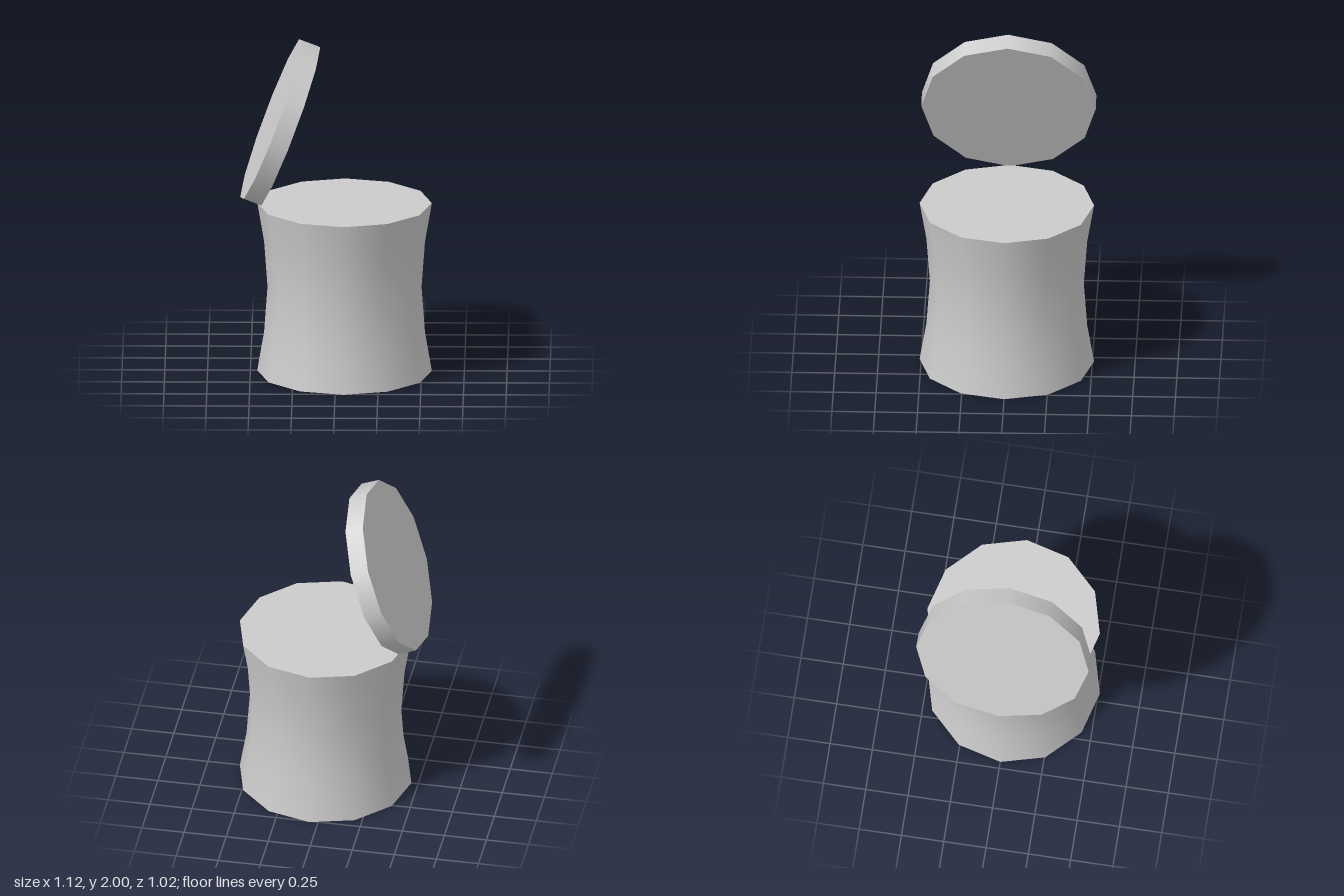
import * as THREE from 'three';

const SIDES = 12, RADIUS = 0.51, HEIGHT = 1.02, LID = 0.11;

export function createModel() {
  const material = new THREE.MeshStandardMaterial({ color: 0xcccccc });
  const model = new THREE.Group();

  const add = (name, geometry, parent) => {
    const mesh = new THREE.Mesh(geometry, material);
    mesh.name = name;
    parent.add(mesh);
    return mesh;
  };

  // Waisted pot body: smooth wall closed by flat discs
  const body = new THREE.Group();
  body.name = 'body';
  body.position.x = 0.05;
  model.add(body);

  const profile = [[0.51, 0], [0.47, 0.235], [0.45, 0.51], [0.47, 0.785], [0.51, HEIGHT]]
    .map(([r, y]) => new THREE.Vector2(r, y));
  add('bodyWall', new THREE.LatheGeometry(profile, SIDES), body);
  const disc = new THREE.CircleGeometry(RADIUS, SIDES);
  add('bodyTop', disc.clone().rotateX(-Math.PI / 2).translate(0, HEIGHT, 0), body);
  add('bodyBase', disc.clone().rotateX(Math.PI / 2), body);

  // Lid, tipped open about its hinge on the rim
  const hinge = new THREE.Group();
  hinge.name = 'lidHinge';
  hinge.position.set(-0.457, HEIGHT - 0.007, 0);
  hinge.rotation.z = THREE.MathUtils.degToRad(69);
  model.add(hinge);
  const lid = add('lid', new THREE.CylinderGeometry(RADIUS, RADIUS, LID, SIDES), hinge);
  lid.position.set(RADIUS, LID / 2, 0);

  return model;
}
